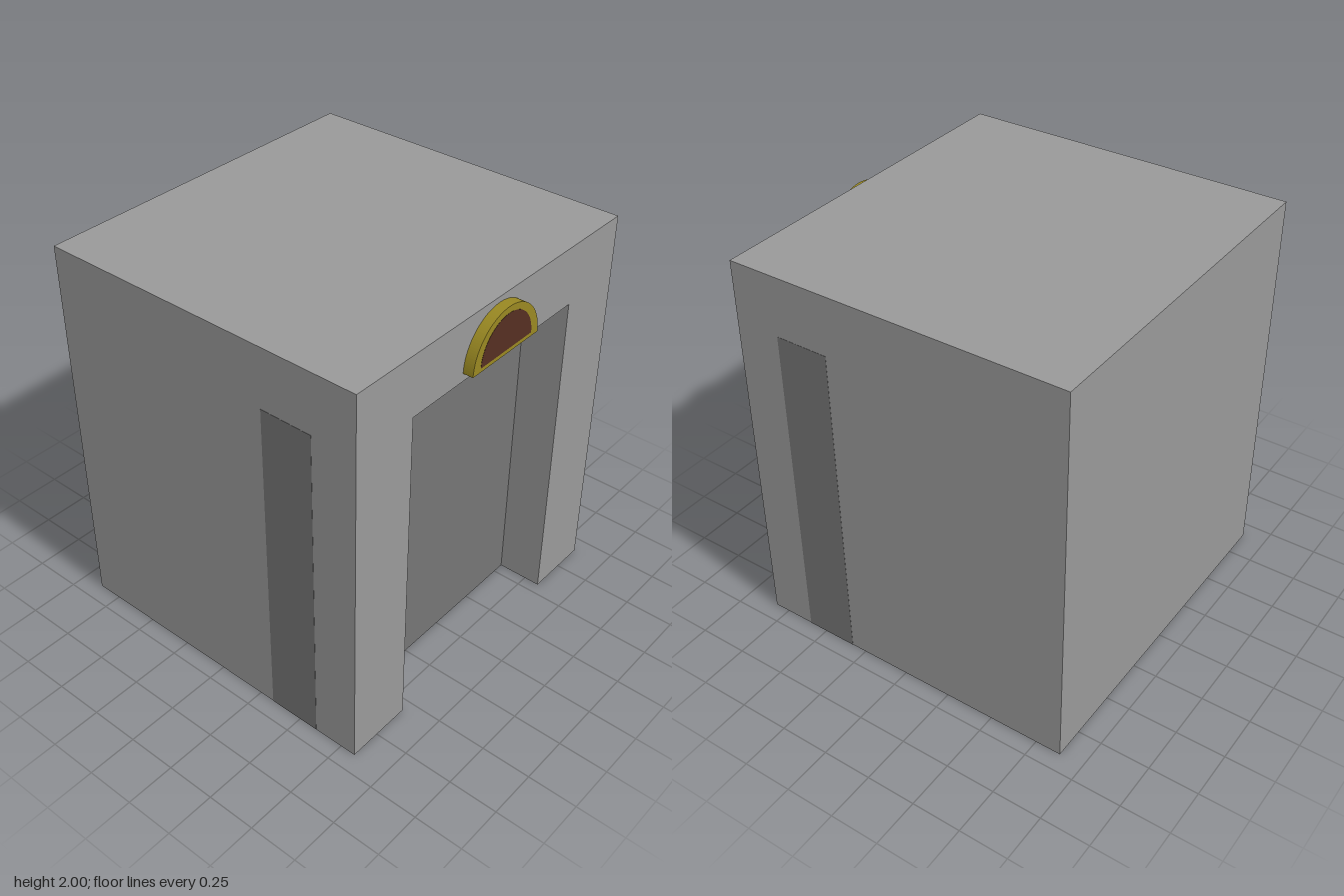
import * as THREE from 'three';
import { mergeGeometries } from 'three/addons/utils/BufferGeometryUtils.js';

const W = 0.91, H = 2, BACK = -0.88, FRONT = 0.83; // outer block
const DW = 0.56, DH = 1.7, DZ = 0.6;               // doorway half width, height, recess plane

const material = (color) => new THREE.MeshStandardMaterial({ color });

function addMesh(parent, name, geometry, mat) {
  const mesh = new THREE.Mesh(geometry, mat);
  mesh.name = name;
  parent.add(mesh);
  return mesh;
}

const polygon = (pts) => new THREE.ShapeGeometry(new THREE.Shape(pts.map(([x, y]) => new THREE.Vector2(x, y))));

// Flat wall, turned and then moved into place
function wall(w, h, rx, ry, x, y, z) {
  return new THREE.PlaneGeometry(w, h).rotateX(rx).rotateY(ry).translate(x, y, z);
}

// Upper half disc with its flat side down
function halfDisc(r) {
  const s = new THREE.Shape();
  s.moveTo(r, 0);
  s.absarc(0, 0, r, 0, Math.PI, false);
  s.closePath();
  return s;
}

export function createModel() {
  const model = new THREE.Group();
  model.name = 'garage';
  const Q = Math.PI / 2, depth = FRONT - BACK, midZ = (FRONT + BACK) / 2, reveal = FRONT - DZ;

  // Block with a doorway recessed into the front
  const walls = [
    polygon([[-W, 0], [-DW, 0], [-DW, DH], [DW, DH], [DW, 0], [W, 0], [W, H], [-W, H]]).translate(0, 0, FRONT),
    polygon([[-W, BACK], [W, BACK], [W, FRONT], [DW, FRONT], [DW, DZ], [-DW, DZ], [-DW, FRONT], [-W, FRONT]]).rotateX(Q),
    wall(2 * W, H, 0, Math.PI, 0, H / 2, BACK),
    wall(2 * W, depth, -Q, 0, 0, H, midZ),
    wall(2 * DW, reveal, Q, 0, 0, DH, (FRONT + DZ) / 2),
  ];
  for (const s of [-1, 1]) {
    walls.push(wall(depth, H, 0, s * Q, s * W, H / 2, midZ));
    walls.push(wall(reveal, DH, 0, -s * Q, s * DW, DH / 2, (FRONT + DZ) / 2));
  }
  addMesh(model, 'body', mergeGeometries(walls), material(0x999999));

  // Door slab running through to both side walls
  const door = new THREE.BoxGeometry(2 * W + 0.002, DH, 0.27);
  addMesh(model, 'door', door, material(0x757575)).position.set(0, DH / 2 - 0.0005, 0.465);

  // Brown floor panel, seen from below
  const brown = material(0x552f22);
  const floor = new THREE.BoxGeometry(1.28, 0.01, 1.29);
  addMesh(model, 'floor', floor, brown).position.set(0, 0.004, -0.16);

  // Half-round sign above the doorway: gold surround with a brown face
  const sign = new THREE.Group();
  sign.name = 'sign';
  sign.position.set(0, 1.74, FRONT);
  model.add(sign);
  const rim = new THREE.ExtrudeGeometry(halfDisc(0.232), { depth: 0.05, bevelEnabled: false, curveSegments: 32 });
  addMesh(sign, 'signRim', rim, material(0x998822));
  const face = new THREE.ExtrudeGeometry(halfDisc(0.18), { depth: 0.002, bevelEnabled: false, curveSegments: 32 });
  addMesh(sign, 'signFace', face, brown).position.set(0, 0.02, 0.049);

  return model;
}
